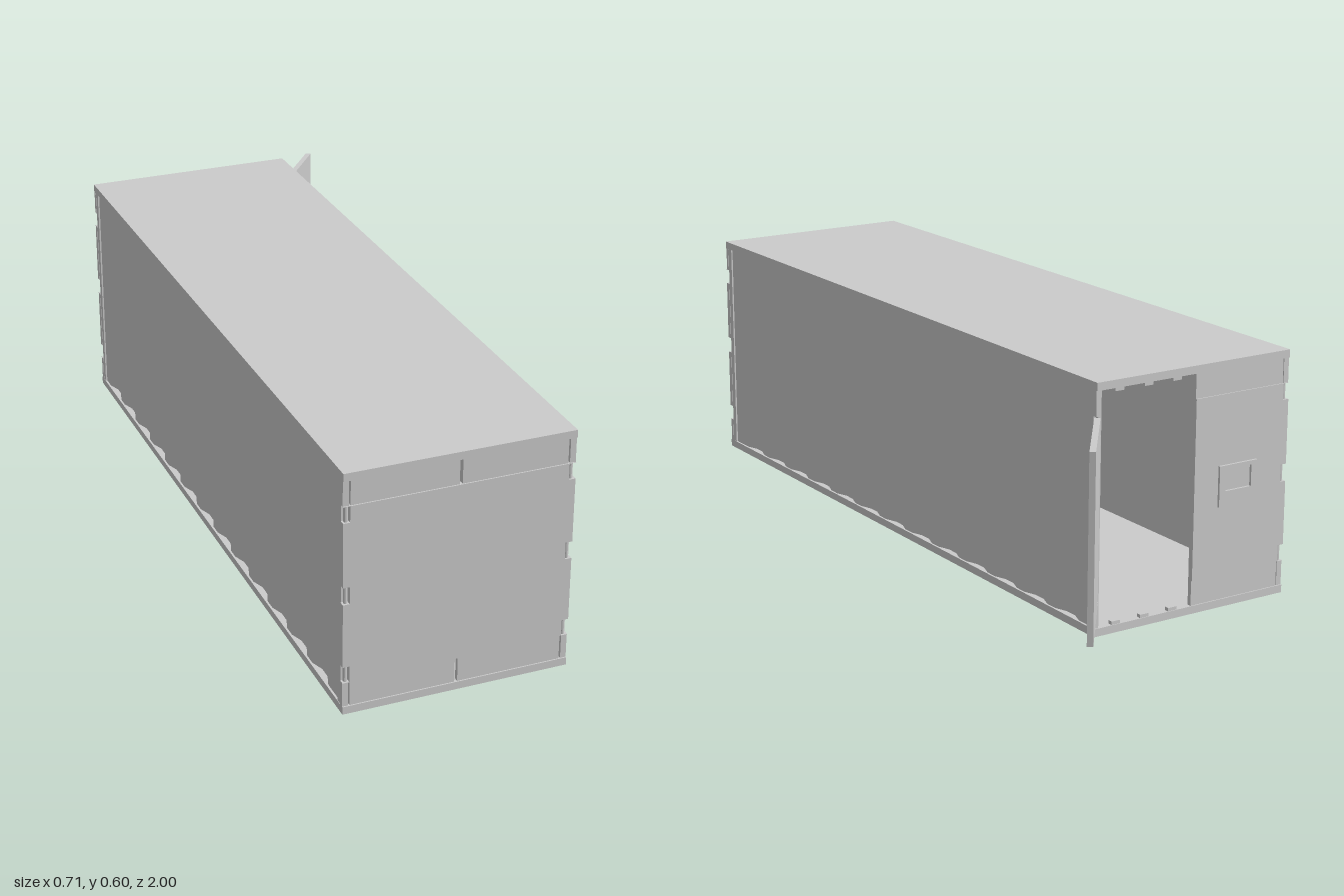
import * as THREE from 'three';

const CX = -0.0825, HALF = 0.2725;            // body centre and half width
const H = 0.595, ZF = 1.0, ZB = -0.787;       // height, front end, back end
const SLAB = 0.019;                           // roof and floor thickness
const DOOR_LO = 0.08, DOOR_HI = 0.516, T = 0.014;
const HINGES = [[0.08, 0.121], [0.277, 0.32], [0.476, 0.516]];

export function createModel() {
  const model = new THREE.Group();
  const mat = new THREE.MeshStandardMaterial({ color: 0xcccccc, flatShading: true });

  const add = (name, geo, parent = model) => {
    const mesh = new THREE.Mesh(geo, mat);
    mesh.name = name;
    parent.add(mesh);
    return mesh;
  };
  // box given by its limits, x measured from the body centre
  const box = (name, x0, x1, y0, y1, z0, z1, parent) => {
    const m = add(name, new THREE.BoxGeometry(x1 - x0, y1 - y0, z1 - z0), parent);
    m.position.set((x0 + x1) / 2, (y0 + y1) / 2, (z0 + z1) / 2);
    return m;
  };

  const body = new THREE.Group();
  body.name = 'body';
  body.position.x = CX;
  model.add(body);

  box('floor', -HALF, HALF, 0, SLAB, ZB, ZF, body);
  box('roof', -HALF, HALF, H - SLAB, H, ZB, ZF, body);

  // side walls: flat inside, trapezoid ribs outside
  const wallGeometry = (s) => {
    const inner = HALF - 0.022, low = HALF - 0.016, high = HALF - 0.005;
    const pts = [[inner, ZB + 0.014], [high, ZB + 0.014]];
    const step = 0.0319, start = -0.722;
    for (let i = 0; i < 13; i++) {
      const z = start + i * step * 4;
      pts.push([high, z], [low, z + step], [low, z + 2 * step], [high, z + 3 * step]);
    }
    pts.push([high, ZF - 0.014], [inner, ZF - 0.014]);
    const shape = new THREE.Shape(pts.map(([x, z]) => new THREE.Vector2(s * x, -z)));
    return new THREE.ExtrudeGeometry(shape, { depth: H - 2 * SLAB, bevelEnabled: false })
      .rotateX(-Math.PI / 2).translate(0, SLAB, 0);
  };

  // corner posts and hinge pins
  for (const s of [-1, 1]) {
    add(s > 0 ? 'leftWall' : 'rightWall', wallGeometry(s), body);
    for (const end of [1, -1]) {
      const z = end > 0 ? ZF : ZB;
      const span = (a, b) => [Math.min(z - end * a, z - end * b), Math.max(z - end * a, z - end * b)];
      const xs = (a, b) => (s > 0 ? [a, b] : [-b, -a]);
      box('cornerPost', ...xs(HALF - 0.019, HALF - 0.001), SLAB, H - SLAB, ...span(T, 0.03), body);
      for (const [y0, y1] of [[SLAB, DOOR_LO], [DOOR_HI, H - SLAB]])
        box('cornerStrip', ...xs(HALF - 0.014, HALF), y0, y1, ...span(0.003, T), body);
      for (const [y0, y1] of HINGES) {
        const pin = add('hingePin', new THREE.CylinderGeometry(0.005, 0.005, y1 - y0, 10), body);
        pin.position.set(s * (HALF - 0.009), (y0 + y1) / 2, z - end * 0.009);
      }
    }
  }

  // door slab, notched for hinges on the chosen edges
  const doorGeometry = (x0, x1, notchRight, notchLeft) => {
    const shape = new THREE.Shape();
    const n = 0.016, e = 0.0005;
    shape.moveTo(x0, DOOR_LO);
    shape.lineTo(x1, DOOR_LO);
    if (notchRight) for (const [y0, y1] of HINGES) {
      shape.lineTo(x1, y0 + e); shape.lineTo(x1 - n, y0 + e);
      shape.lineTo(x1 - n, y1 - e); shape.lineTo(x1, y1 - e);
    }
    shape.lineTo(x1, DOOR_HI);
    shape.lineTo(x0, DOOR_HI);
    if (notchLeft) for (const [y0, y1] of [...HINGES].reverse()) {
      shape.lineTo(x0, y1 - e); shape.lineTo(x0 + n, y1 - e);
      shape.lineTo(x0 + n, y0 + e); shape.lineTo(x0, y0 + e);
    }
    return new THREE.ExtrudeGeometry(shape, { depth: T, bevelEnabled: false });
  };

  // front end: closed doors with split strips above and below
  add('frontDoors', doorGeometry(-HALF, HALF, true, true), body).position.z = ZF - T;
  for (const [y0, y1] of [[SLAB, DOOR_LO], [DOOR_HI, H - SLAB]]) {
    for (const [x0, x1] of [[-HALF + 0.018, -0.0035], [0.0035, HALF - 0.018]])
      box('frontStrip', x0, x1, y0, y1, ZF - T, ZF - 0.003, body);
    box('backStrip', -HALF + 0.016, -0.0035, y0, y1, ZB + 0.003, ZB + T, body);
  }
  // back end: one closed door, one open doorway
  add('backClosedDoor', doorGeometry(-HALF, -0.0035, false, true), body).position.z = ZB;

  // lock sockets along the doorway sill and lintel
  for (const x of [0.05, 0.13, 0.21])
    for (const y of [SLAB, H - SLAB - 0.008])
      box('lockSocket', x - 0.012, x + 0.012, y, y + 0.008, ZB + 0.002, ZB + T, body);

  // shallow latch plate with a recess on the closed back door
  const plate = new THREE.Shape([[-0.181, 0.248], [-0.072, 0.248], [-0.072, 0.347], [-0.181, 0.347]]
    .map((p) => new THREE.Vector2(...p)));
  plate.holes.push(new THREE.Path([[-0.164, 0.285], [-0.164, 0.337], [-0.089, 0.337], [-0.089, 0.285]]
    .map((p) => new THREE.Vector2(...p))));
  add('latchPlate', new THREE.ExtrudeGeometry(plate, { depth: 0.006, bevelEnabled: false }), body)
    .position.z = ZB - 0.006;

  // open back door, swung outward about the left rear corner
  const swing = new THREE.Group();
  swing.name = 'openDoor';
  swing.position.set(0.191, 0, -0.79);
  swing.rotation.y = Math.atan2(0.203, 0.157);
  add('openDoorPanel', doorGeometry(0, 0.258, false, true), swing).position.z = -T / 2;
  model.add(swing);

  return model;
}
